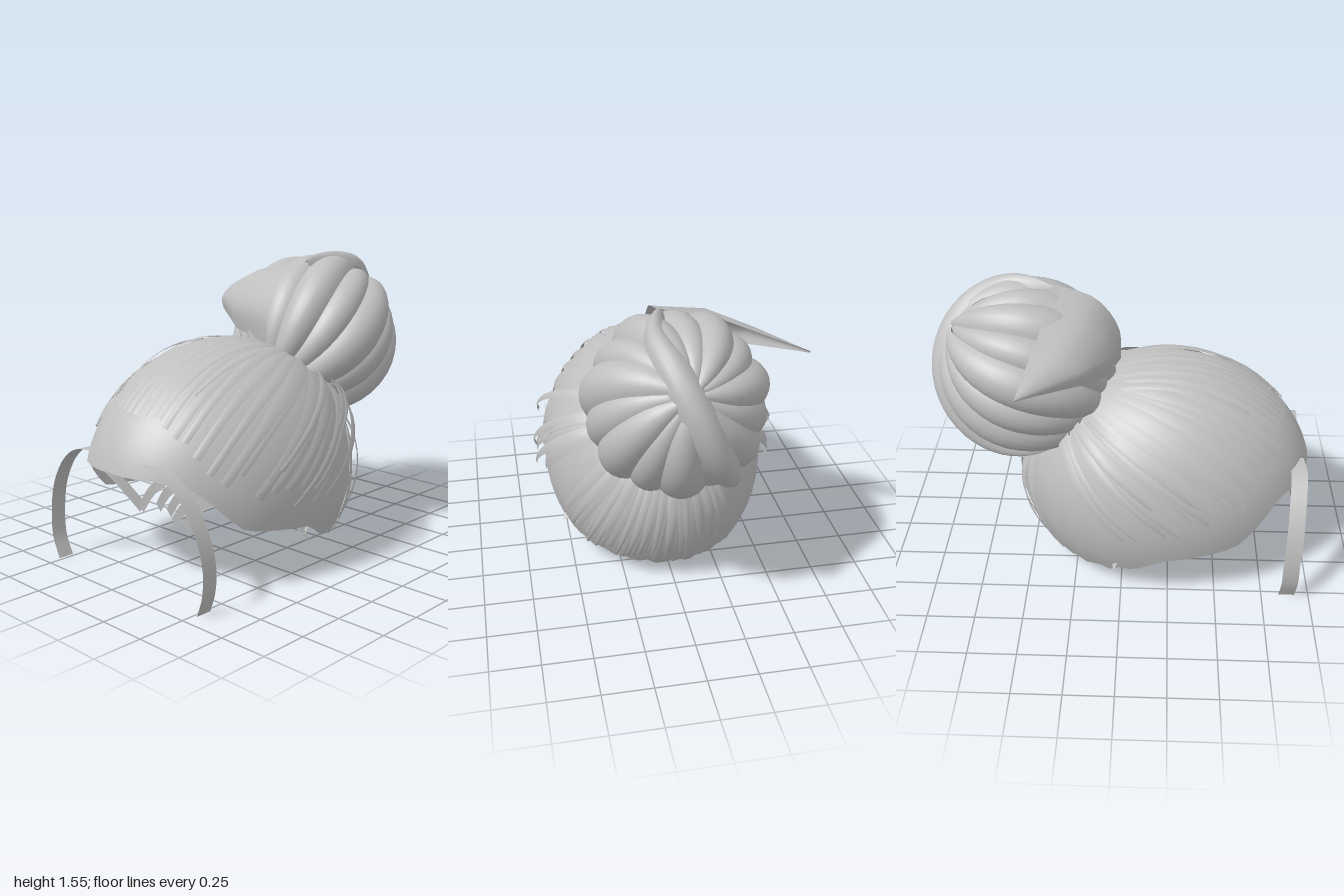
import * as THREE from 'three';
import { mergeGeometries } from 'three/addons/utils/BufferGeometryUtils.js';

const V = (x, y, z) => new THREE.Vector3(x, y, z);
const rad = THREE.MathUtils.degToRad;

// seeded random numbers
let seed = 7;
const rnd = (a = 0, b = 1) => {
  seed = (seed * 16807) % 2147483647;
  return a + (b - a) * (seed / 2147483647);
};

// piecewise linear lookup in [[key, value], ...]
function lookup(table, k) {
  for (let i = 1; i < table.length; i++) {
    const [k0, v0] = table[i - 1], [k1, v1] = table[i];
    if (k <= k1) return v0 + (v1 - v0) * (k - k0) / (k1 - k0);
  }
  return table[table.length - 1][1];
}

// grid surface from a rule f(u, v) -> Vector3, u and v in 0..1
function surface(nu, nv, f) {
  const pos = [], idx = [];
  for (let i = 0; i <= nu; i++)
    for (let j = 0; j <= nv; j++) pos.push(...f(i / nu, j / nv).toArray());
  for (let i = 0; i < nu; i++)
    for (let j = 0; j < nv; j++) {
      const a = i * (nv + 1) + j, b = a + nv + 1;
      idx.push(a, b, a + 1, b, b + 1, a + 1);
    }
  const g = new THREE.BufferGeometry();
  g.setAttribute('position', new THREE.Float32BufferAttribute(pos, 3));
  g.setIndex(idx);
  g.computeVertexNormals();
  return g;
}

// flat ribbon along a smooth path, spread along the direction 'side', optionally tapered
function ribbon(points, side, width, n = 10, taper = 0) {
  const curve = new THREE.CatmullRomCurve3(points);
  return surface(n, 2, (t, v) => curve.getPoint(t).addScaledVector(side, (v - 0.5) * width * (1 - taper * t)));
}

// head ellipsoid, deeper at the front than at the back
const headC = V(0, 0.45, 0.22);
const onHead = (dir, lift = 1) =>
  dir.clone().multiply(V(0.6, 0.68, dir.z > 0 ? 0.795 : 0.745)).multiplyScalar(lift).add(headC);
function headDir(azimuth, y) {
  const c = THREE.MathUtils.clamp((y - headC.y) / 0.68, -1, 1), s = Math.sqrt(1 - c * c);
  return V(Math.sin(azimuth) * s, c, Math.cos(azimuth) * s);
}
const HAIRLINE = [[0, 0.6], [25, 0.59], [42, 0.55], [61, 0.33], [91, 0.27], [102, 0.18], [123, 0.12], [180, 0.08]];
const STRAND_END = [[0, 0.93], [20, 0.87], [35, 0.72], [60, 0.58], [75, 0.46], [90, 0.42], [103, 0.46],
  [113, 0.3], [128, 0.18], [180, 0.12]];

// cap from crown to hairline, ragged at the nape
function capGeometry() {
  const N = 72;
  return surface(N, 24, (u, v) => {
    const a = (u * 2 - 1) * Math.PI, deg = Math.abs(a) * 180 / Math.PI;
    const rag = deg > 105 ? 0.02 * Math.sin(Math.round(u * N) * 2.3) : 0;
    const phi = v * Math.acos((lookup(HAIRLINE, deg) + rag - headC.y) / 0.68);
    return onHead(V(Math.sin(a) * Math.sin(phi), Math.cos(phi), Math.cos(a) * Math.sin(phi)));
  });
}

// strand hugging the head between two directions; 'reach' below 1 leaves its tip lifted
function headStrand(from, to, width, lift, reach = 1) {
  const angle = from.angleTo(to), axis = from.clone().cross(to).normalize();
  return surface(14, 2, (t, v) => {
    const c = from.clone().applyAxisAngle(axis, angle * t);
    const w = width * (0.55 + 0.45 * Math.sin(Math.PI * Math.min(1, t + 0.2)));
    const u = v * 2 - 1;
    c.addScaledVector(axis, u * w * 0.5).normalize();
    return onHead(c, 1.008 + lift * Math.sin(Math.PI * t * reach) + 0.008 * (1 - u * u));
  });
}

// bun
const bunC = V(0.01, 1.09, -0.5);
const bunTurn = new THREE.Quaternion().setFromUnitVectors(V(0, 1, 0), V(0, 0.5, -0.86).normalize());

// swollen lock running from pole to pole of the bun with a slight twist
function bunLock(center, span, radius) {
  return surface(20, 8, (t, v) => {
    const phi = rad(4) + t * rad(172), u = v * 2 - 1;
    const th = center + u * span * 0.5 + 0.55 * (t - 0.5);
    const r = radius - 0.055 * u * u * Math.sin(phi);
    return V(Math.sin(phi) * Math.sin(th), Math.cos(phi), Math.sin(phi) * Math.cos(th))
      .multiplyScalar(r).applyQuaternion(bunTurn).add(bunC);
  });
}

// raised lock wrapped over the bun through a few directions
function bunBand(dirs, width, radius) {
  const curve = new THREE.CatmullRomCurve3(dirs.map(d => V(...d).normalize()));
  return surface(36, 6, (t, v) => {
    const c = curve.getPoint(t).normalize(), u = v * 2 - 1;
    const side = curve.getTangent(t).cross(c).normalize();
    const w = width * Math.pow(Math.sin(Math.PI * (0.02 + 0.96 * t)), 0.6);
    const r = radius - 0.04 * Math.pow(2 * t - 1, 4) - 0.05 * u * u;
    return c.addScaledVector(side, u * w * 0.5).normalize().multiplyScalar(r).add(bunC);
  });
}

export function createModel() {
  seed = 7;
  const model = new THREE.Group();
  const hair = new THREE.MeshStandardMaterial({ color: 0xbfbfbf, side: THREE.DoubleSide });
  hair.name = 'hairGrey';
  const add = (name, ...geos) => {
    const mesh = new THREE.Mesh(geos.length > 1 ? mergeGeometries(geos) : geos[0], hair);
    mesh.name = name;
    model.add(mesh);
  };

  add('cap', capGeometry());

  // strands combed from the hairline back to the bun, leaving a bare patch behind each ear
  const root = V(0, 0.7, -0.71).normalize();
  const combed = [], loose = [];
  for (const s of [-1, 1]) {
    const bareEnd = s > 0 ? 116 : 142;
    for (let deg = 3; deg < 178; deg += deg < 50 ? 5.5 : 6.5) {
      if (deg > 101 && deg < bareEnd) continue;
      const raise = s < 0 && deg > 65 && deg < 102 ? 0.1 : 0;
      const end = headDir(s * rad(deg), lookup(STRAND_END, deg) + raise + rnd(-0.06, 0.06));
      const start = root.clone().lerp(end, 0.16).normalize();
      combed.push(headStrand(start, end, rnd(0.09, 0.13), rnd(0.004, 0.02)));
    }
    // lifted flyaways at the sides, then closer ones at the nape
    for (let i = 0; i < 7; i++) {
      const end = headDir(s * rad(74 + i * 5), rnd(0.42, 0.66));
      loose.push(headStrand(root.clone().lerp(end, 0.3).normalize(), end, rnd(0.05, 0.08), rnd(0.06, 0.15), 0.8));
    }
    for (let deg = bareEnd + 3; deg < 176; deg += 7) {
      const end = headDir(s * rad(deg), rnd(0.1, 0.28));
      loose.push(headStrand(root.clone().lerp(end, 0.3).normalize(), end, rnd(0.05, 0.08), rnd(0.02, 0.06)));
    }
  }
  // short raised strands at the crown
  for (let i = -4; i <= 4; i++) {
    const end = headDir(rad(i * 9), 1.0 + rnd(-0.05, 0.03));
    loose.push(headStrand(V(i * 0.07, 0.9, -0.38).normalize(), end, 0.065, rnd(0.02, 0.045)));
  }
  add('combedStrands', ...combed);
  add('looseStrands', ...loose);

  // bun with one heavier lock wrapped from its top across the back to the lower right
  const locks = [], LOCKS = 14;
  for (let i = 0; i < LOCKS; i++)
    locks.push(bunLock(i / LOCKS * Math.PI * 2, 0.52 + rnd(0, 0.1), 0.445 + 0.02 * (i % 2)));
  add('bunLocks', ...locks);
  add('bunBand', bunBand([[0.1, 0.95, 0.3], [0.25, 0.85, -0.25], [0.15, 0.7, -0.65], [-0.08, 0.25, -1],
    [-0.35, -0.35, -0.88], [-0.55, -0.75, -0.35], [-0.65, -0.75, 0.25]], 0.36, 0.5));

  // pointed tuft sticking out of the bun, sections of [y, z] at each x
  const tuft = [
    [-0.66, [[1.29, -0.48], [1.29, -0.48], [1.292, -0.48], [1.295, -0.48]]],
    [-0.42, [[1.23, -0.2], [1.29, -0.19], [1.36, -0.28], [1.385, -0.43]]],
    [-0.2, [[1.15, -0.08], [1.28, -0.06], [1.43, -0.18], [1.47, -0.38]]],
    [0.08, [[1.1, -0.02], [1.28, -0.03], [1.45, -0.15], [1.53, -0.38]]],
  ];
  const rows = tuft.map(([x, yz]) => new THREE.CatmullRomCurve3(yz.map(([y, z]) => V(x, y, z))));
  add('pointedTuft', surface(3, 10, (u, v) => rows[Math.round(u * 3)].getPoint(v)));

  // long curved strands framing the face
  const framing = [], fringe = [], nape = [];
  for (const s of [-1, 1]) {
    framing.push(ribbon([[0.18, 0.665, 0.91], [0.3, 0.65, 0.92], [0.42, 0.57, 0.91], [0.52, 0.42, 0.9],
      [0.565, 0.25, 0.89], [0.56, 0.12, 0.89], [0.52, 0.01, 0.885]].map(([x, y, z]) => V(s * x, y, z)),
    V(0, 0, 1), 0.085, 28));
    // diagonal strands beneath the front hairline
    for (let i = 0; i < 5; i++) {
      const x = 0.26 + i * 0.04, y = 0.6 - i * 0.025, z = 0.85 - i * 0.035, len = rnd(0.75, 1.1);
      fringe.push(ribbon([V(s * x, y, z), V(s * (x - 0.13 * len), y - 0.09 * len, z - 0.02),
        V(s * (x - 0.25 * len), y - 0.21 * len, z - 0.06)], V(-s * 0.65, 0.76, 0), 0.05, 6));
    }
    // tangled ends inside the temples
    for (let i = 0; i < 4; i++) {
      const y = 0.42 - i * 0.05, z = 0.4 - i * 0.14;
      fringe.push(ribbon([V(s * 0.53, y - 0.07, z), V(s * 0.45, y - 0.02, z - 0.02), V(s * rnd(0.32, 0.4), y, z - 0.05)],
        V(-s * 0.3, 0.8, 0.5), 0.07, 5));
    }
  }
  // tapered ends hanging on the left side
  for (let i = 0; i < 4; i++)
    nape.push(ribbon([V(0.44 - i * 0.03, 0.28 - i * 0.02, -0.14), V(0.36 - i * 0.03, 0.18, -0.12 + i * 0.02),
      V(0.28 + rnd(-0.05, 0.05), rnd(0.02, 0.1), -0.03 - i * 0.03)], V(0.7, 0.6, 0), 0.12, 4, 0.95));
  // ends tucked along the inside of the nape
  for (let i = 0; i < 6; i++) {
    const x0 = -0.3 + i * 0.09, y = 0.17 - 0.08 * (i % 2);
    const path = [0, 0.07, 0.15].map(d => V(x0 + d, y + d * 0.1, -0.35 + 1.1 * (x0 + d) ** 2));
    nape.push(ribbon(path, V(0, 0.9, -0.3), 0.04, 5));
  }
  add('faceFramingStrands', ...framing);
  add('fringeStrands', ...fringe);
  add('napeStrands', ...nape);

  return model;
}
